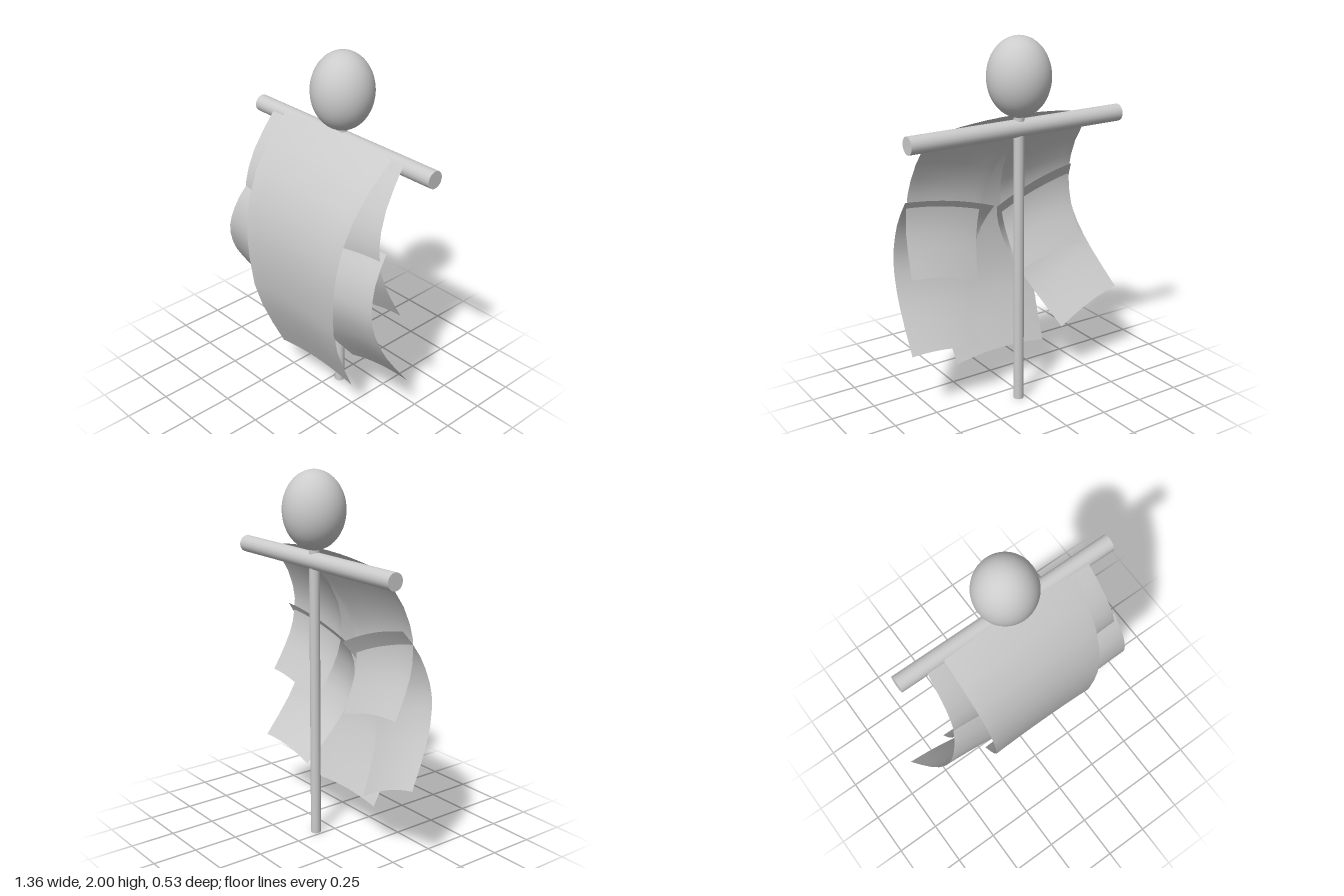
import * as THREE from 'three';

const material = new THREE.MeshStandardMaterial({ color: 0xcccccc });
const clothMaterial = new THREE.MeshStandardMaterial({ color: 0xcccccc, side: THREE.DoubleSide });

const CENTER_X = 0.038, POLE_Z = -0.103;

// Bulge of each cloth from top to bottom, as [fraction down, z]
const longBulge = [[0, -0.06], [0.13, 0.117], [0.28, 0.222], [0.41, 0.26], [0.52, 0.266], [0.69, 0.244], [0.84, 0.175], [1, 0.075]];
const upperBulge = [[0, -0.058], [0.2, 0.06], [0.4, 0.128], [0.55, 0.14], [0.7, 0.125], [0.85, 0.08], [1, 0.022]];
const lowerBulge = [[0, 0.1], [0.13, 0.165], [0.25, 0.198], [0.38, 0.212], [0.5, 0.2], [0.65, 0.155], [0.8, 0.085], [1, -0.03]];

// Hanging cloth: four corners [x, y], a bulge in z, and an arch across its width
function cloth(name, [tl, tr, bl, br], bulge, arch, zShift = 0) {
  const curve = new THREE.SplineCurve(bulge.map(([t, z]) => new THREE.Vector2(t, z)));
  const geometry = new THREE.PlaneGeometry(1, 1, 10, 10);
  const pos = geometry.attributes.position;
  const mix = THREE.MathUtils.lerp;
  for (let i = 0; i < pos.count; i++) {
    const s = pos.getX(i) + 0.5;
    const p = curve.getPoint(0.5 - pos.getY(i));
    const x = mix(mix(tl[0], tr[0], s), mix(bl[0], br[0], s), p.x);
    const y = mix(mix(tl[1], tr[1], s), mix(bl[1], br[1], s), p.x);
    pos.setXYZ(i, x, y + arch * 4 * s * (1 - s), p.y + zShift);
  }
  geometry.computeVertexNormals();
  const mesh = new THREE.Mesh(geometry, clothMaterial);
  mesh.name = name;
  return mesh;
}

export function createModel() {
  const group = new THREE.Group();
  const add = (name, geometry, x, y, z) => {
    const mesh = new THREE.Mesh(geometry, material);
    mesh.name = name;
    mesh.position.set(x, y, z);
    group.add(mesh);
    return mesh;
  };

  // Wooden frame and head
  add('pole', new THREE.CylinderGeometry(0.028, 0.028, 1.6, 24), CENTER_X, 0.8, POLE_Z);
  add('crossbar', new THREE.CylinderGeometry(0.046, 0.046, 1.276, 24), CENTER_X, 1.532, POLE_Z)
    .rotation.z = Math.PI / 2;
  add('head', new THREE.SphereGeometry(0.165, 40, 28), CENTER_X, 1.794, POLE_Z)
    .scale.y = 0.206 / 0.165;

  // Cloths, corners in the order top -x, top +x, bottom -x, bottom +x
  group.add(
    cloth('frontCloth', [[-0.355, 1.565], [0.43, 1.562], [-0.248, 0.205], [0.322, 0.205]], longBulge, 0.027),
    cloth('rightUpperCloth', [[-0.452, 1.542], [0.04, 1.465], [-0.475, 0.77], [-0.05, 0.69]], upperBulge, 0.022),
    cloth('leftUpperCloth', [[0.03, 1.47], [0.513, 1.565], [0.215, 0.685], [0.61, 0.785]], upperBulge, 0.022),
    cloth('rightLowerCloth', [[-0.442, 1.225], [0.05, 1.06], [-0.68, 0.477], [-0.3, 0.315]], lowerBulge, 0.022, -0.01),
    cloth('leftLowerCloth', [[0.05, 1.06], [0.585, 1.172], [0.235, 0.318], [0.642, 0.375]], lowerBulge, 0.02, 0.015),
  );
  return group;
}
